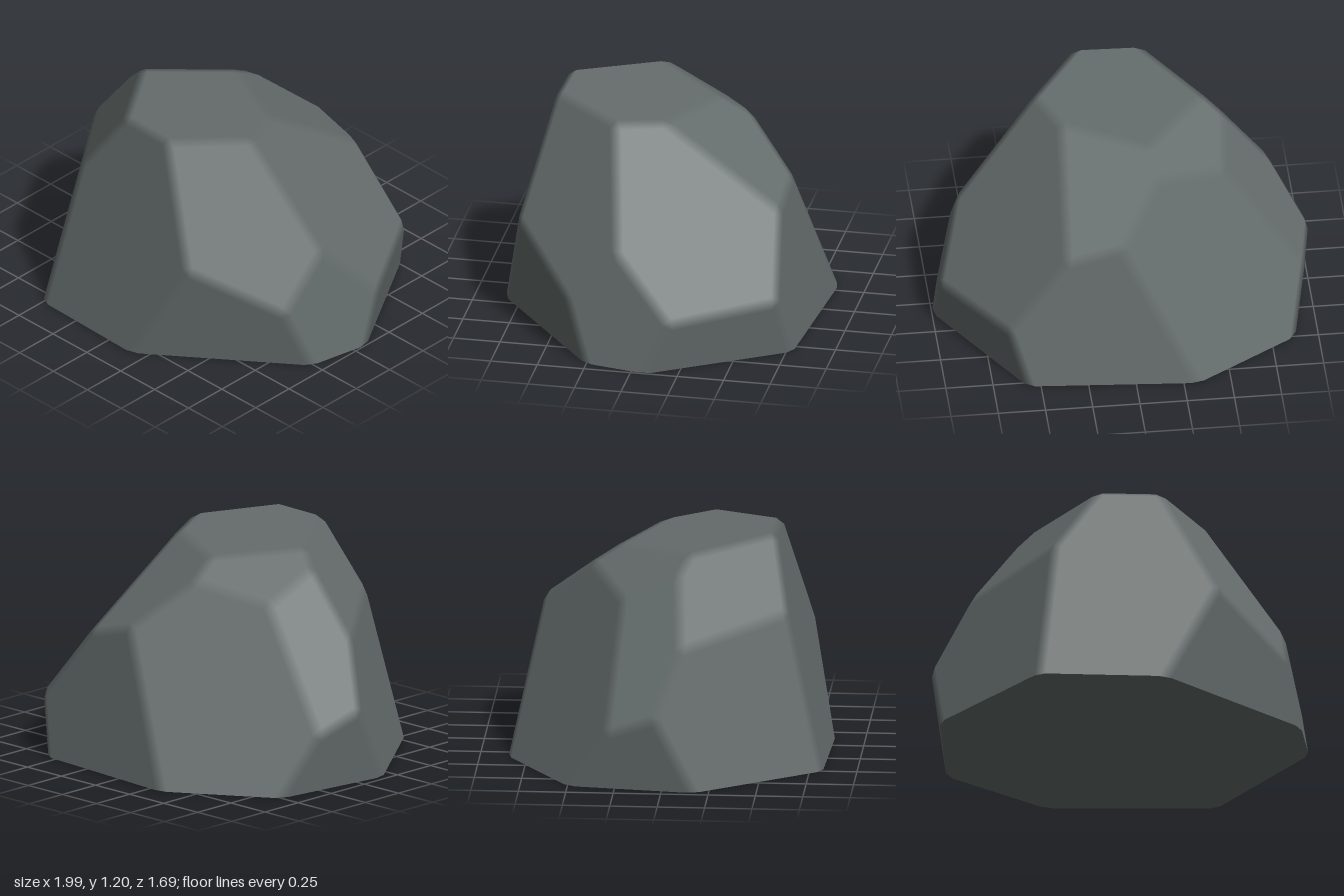
import * as THREE from 'three';
import { ConvexGeometry } from 'three/addons/geometries/ConvexGeometry.js';

const BEVEL = 0.035;

// Each facet of the boulder is a plane through three points.
const FACETS = [
  [[-0.5, 0, 0.82], [0.17, 0, 0.84], [0, 1.2, 0.56]],            // front
  [[-0.16, 1.2, 0.55], [0.16, 1.2, 0.55], [0.1, 1.132, -0.2]],   // top
  [[0.17, 0, 0.84], [0.93, 0, 0.26], [0.46, 0.58, 0.71]],        // front, +x, lower
  [[0.46, 0.58, 0.71], [0.84, 0.34, 0.38], [0.43, 1.165, 0.2]],  // front, +x, upper
  [[0.93, 0, 0.26], [1, 0, -0.08], [0.85, 0.61, 0.12]],          // +x side, lower
  [[0.43, 1.165, 0.2], [0.67, 0.32, -0.7], [0.97, 0.27, -0.22]], // +x side, upper
  [[1, 0, -0.08], [0.57, 0, -0.78], [0.82, 0.3, -0.46]],         // back, +x, lower
  [[-0.3, 0, -0.85], [0.55, 0, -0.785], [0.2, 0.7, -0.69]],      // back
  [[-0.13, 1.13, -0.26], [0.31, 1.145, -0.05], [0.38, 0.69, -0.69]], // back slope
  [[-0.33, 0, -0.85], [-0.88, 0, -0.5], [-0.16, 0.97, -0.45]],   // back, -x
  [[-0.13, 1.13, -0.26], [-0.45, 1.16, 0.11], [-0.52, 0.9, -0.3]],   // shoulder
  [[-0.58, 1.04, 0.05], [-1, 0.4, -0.04], [-0.93, 0.29, -0.37]], // -x side, upper
  [[-0.16, 1.2, 0.55], [-0.43, 0.8, 0.63], [-0.83, 0.73, 0.08]], // front, -x, upper
  [[-0.5, 0, 0.82], [-0.97, 0, 0.17], [-0.83, 0.73, 0.08]],      // front, -x, lower
  [[-1, 0.4, -0.04], [-0.97, 0, 0.17], [-0.88, 0, -0.5]],        // -x side, lower
];

const CENTRE = new THREE.Vector3(0, 0.5, 0);

function outwardPlane(points) {
  const plane = new THREE.Plane().setFromCoplanarPoints(...points.map((p) => new THREE.Vector3(...p)));
  return plane.distanceToPoint(CENTRE) > 0 ? plane.negate() : plane;
}

// Keep the part of a polygon lying at least `margin` behind the plane.
function clip(polygon, plane, margin) {
  const kept = [];
  polygon.forEach((a, i) => {
    const b = polygon[(i + 1) % polygon.length];
    const da = plane.distanceToPoint(a) + margin;
    const db = plane.distanceToPoint(b) + margin;
    if (da <= 0) kept.push(a);
    if (da * db < 0) kept.push(a.clone().lerp(b, da / (da - db)));
  });
  return kept;
}

// Facet outline, drawn in from its neighbours to leave room for soft edges.
function facetOutline(plane, planes, ground) {
  const origin = plane.projectPoint(CENTRE, new THREE.Vector3());
  const turn = new THREE.Quaternion().setFromUnitVectors(new THREE.Vector3(0, 0, 1), plane.normal);
  let polygon = [[-4, -4], [4, -4], [4, 4], [-4, 4]].map(([x, y]) =>
    new THREE.Vector3(x, y, 0).applyQuaternion(turn).add(origin));
  for (const other of planes) {
    if (other === plane) continue;
    const cos = plane.normal.dot(other.normal);
    polygon = clip(polygon, other, BEVEL * Math.sqrt(1 - cos * cos));
  }
  return clip(polygon, ground, 0);
}

function boulderGeometry() {
  const planes = FACETS.map(outwardPlane);
  const ground = new THREE.Plane(new THREE.Vector3(0, -1, 0), 0);
  const corners = [];
  for (const plane of planes) {
    for (const point of facetOutline(plane, planes, ground)) {
      if (Math.abs(point.y) < 1e-5) point.y = 0;
      corners.push({ point, normal: plane.normal });
    }
  }
  const geometry = new ConvexGeometry(corners.map((c) => c.point));

  // Corners take their facet's normal, so edges shade softly; the base stays sharp.
  const position = geometry.attributes.position;
  const normal = geometry.attributes.normal;
  const p = new THREE.Vector3();
  for (let i = 0; i < position.count; i += 3) {
    const onGround = [0, 1, 2].every((k) => position.getY(i + k) < 1e-4);
    for (let k = i; k < i + 3; k++) {
      p.fromBufferAttribute(position, k);
      let best = corners[0];
      for (const c of corners) {
        if (c.point.distanceToSquared(p) < best.point.distanceToSquared(p)) best = c;
      }
      const n = onGround ? ground.normal : best.normal;
      normal.setXYZ(k, n.x, n.y, n.z);
    }
  }
  return geometry;
}

export function createModel() {
  const stone = new THREE.MeshStandardMaterial({ color: 0x646c6b });
  stone.name = 'stone grey';
  const boulder = new THREE.Mesh(boulderGeometry(), stone);
  boulder.name = 'boulder';
  const group = new THREE.Group();
  group.name = 'rock';
  group.add(boulder);
  return group;
}
